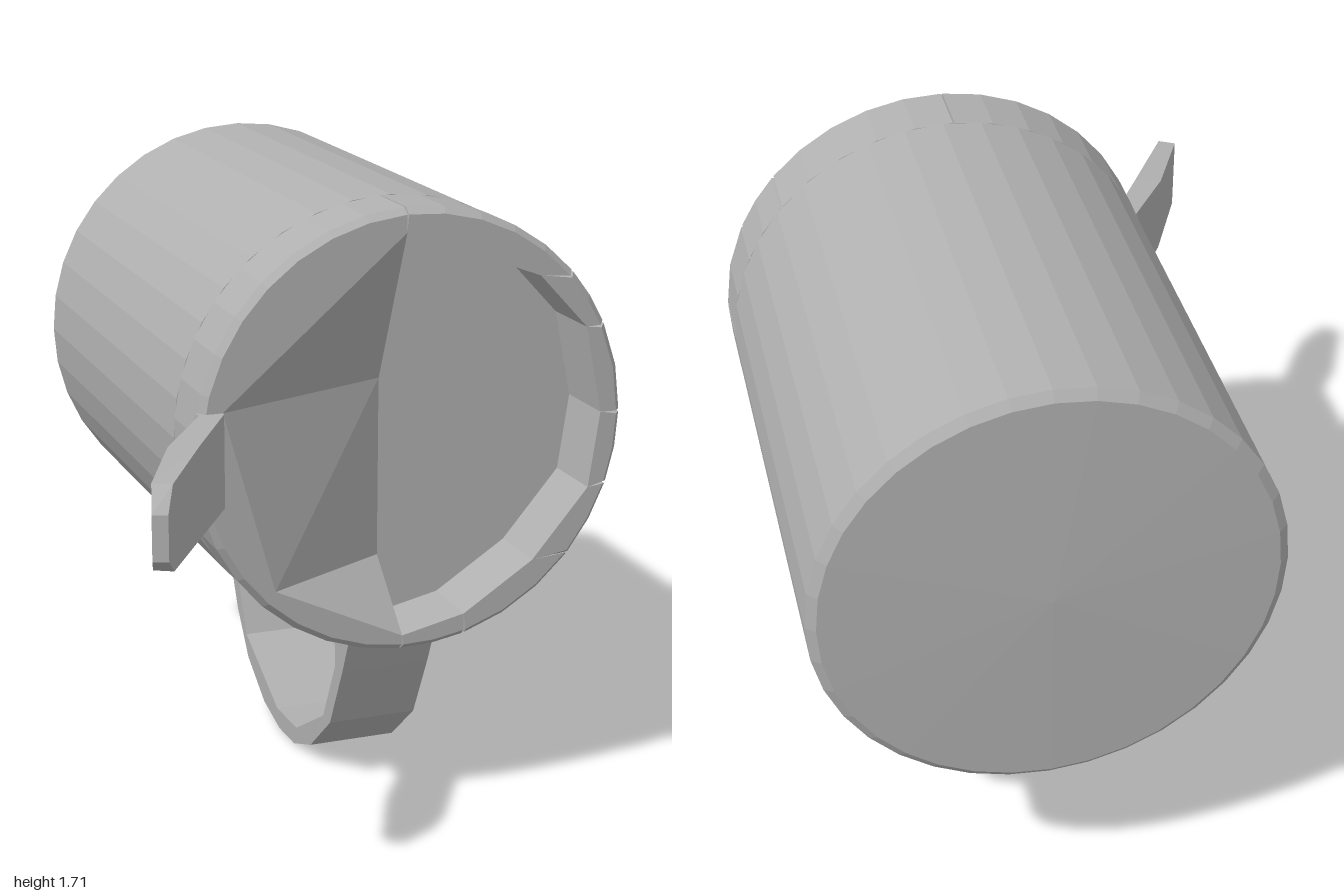
import * as THREE from 'three';

const grey = new THREE.MeshStandardMaterial({ color: 0xb0b0b0, flatShading: true });
grey.name = 'grey';

const CX = 0.13, CY = 1.11, R = 0.604;   // cup axis and radius
const FLOOR = 0.3, RIM = 0.49;           // inner floor and rim depth
const V = (x, y) => new THREE.Vector2(x, y);

function add(group, name, geometry) {
  const mesh = new THREE.Mesh(geometry, grey);
  mesh.name = name;
  group.add(mesh);
  return mesh;
}

// Points along the outer circle between two angles in degrees
function arc(from, to) {
  const n = Math.max(1, Math.round(Math.abs(to - from) / 10));
  return Array.from({ length: n + 1 }, (_, i) => {
    const a = THREE.MathUtils.degToRad(from + (to - from) * i / n);
    return V(CX + R * Math.cos(a), CY + R * Math.sin(a));
  });
}

// Piece of rim wall from the floor to the lip, with a chamfered outer edge
function rimPiece(points) {
  const g = new THREE.ExtrudeGeometry(new THREE.Shape(points),
    { depth: RIM - FLOOR, steps: 2, bevelEnabled: false });
  g.translate(0, 0, FLOOR);
  const p = g.attributes.position;
  for (let i = 0; i < p.count; i++) {
    const x = p.getX(i) - CX, y = p.getY(i) - CY, z = p.getZ(i);
    if (z > RIM - 0.001) {
      const k = Math.hypot(x, y) > R - 0.01 ? 0.972 : 1;
      p.setXY(i, CX + x * k, CY + y * k);
    } else if (z > FLOOR + 0.001) p.setZ(i, RIM - 0.02);
  }
  g.computeVertexNormals();
  return g;
}

function triangles(list) {
  const g = new THREE.BufferGeometry();
  g.setAttribute('position', new THREE.Float32BufferAttribute(list.flat(2), 3));
  g.computeVertexNormals();
  return g;
}

export function createModel() {
  const model = new THREE.Group();
  model.name = 'mug';

  // Solid body, lying along z with a slightly bevelled base
  const profile = [V(0, -1), V(R - 0.025, -0.985), V(R, -0.965), V(R, FLOOR), V(0, FLOOR)];
  const body = new THREE.LatheGeometry(profile, 36);
  body.rotateX(Math.PI / 2);
  body.translate(CX, CY, 0);
  add(model, 'body', body);

  // Thin wall segments round one half of the mouth, parted by fine slits
  const angles = [93, 41.6, 25, 0.5, -19, -40, -75, -93];
  const inner = [[0.1, 1.65], [0.48, 1.51], [0.62, 1.36], [0.67, 1.12],
    [0.64, 0.91], [0.48, 0.72], [0.28, 0.59], [0.1, 0.55]].map(([x, y]) => V(x, y));
  for (let i = 0; i < angles.length - 1; i++) {
    const gap = 0.4;
    add(model, 'rimSegment', rimPiece([
      inner[i], inner[i + 1], ...arc(angles[i + 1] + gap, angles[i] - gap)]));
  }

  // Thick rim on the other half
  const A = [0.1, 1.65, RIM], B = [-0.4, 1.22, RIM], D = [-0.26, 0.72, RIM], E = [0.1, 0.55, RIM];
  const corners = [E, D, B, A].map(([x, y]) => V(x, y));
  add(model, 'thickRim', rimPiece([...arc(93, 267), ...corners]));

  // Sloping facets from the thick rim down to the floor
  const C = [0.1, 1.22, FLOOR + 0.002], F = [0.1, 0.72, FLOOR + 0.002];
  const A0 = [0.1, 1.65, FLOOR], E0 = [0.1, 0.55, FLOOR];
  add(model, 'innerSlopes', triangles([
    [A, B, C], [B, D, C], [D, F, C], [D, E, F], [A, C, A0], [E, E0, F]]));

  // Flat bar reaching out from the rim: outer x/z, inner x/z, low y, high y
  const stations = [
    [-0.47, 0.47, -0.4, 0.47, 0.97, 1.22],
    [-0.463, 0.49, -0.4, 0.5, 0.97, 1.22],
    [-0.61, 0.7, -0.535, 0.72, 0.975, 1.212],
    [-0.72, 0.93, -0.675, 0.955, 0.985, 1.2],
    [-0.737, 0.985, -0.7, 0.998, 1.025, 1.14]];
  const rings = stations.map(([ox, oz, ix, iz, lo, hi]) =>
    [[ox, lo, oz], [ix, lo, iz], [ix, hi, iz], [ox, hi, oz]]);
  const faces = [];
  const quad = (a, b, c, d) => faces.push([a, b, c], [a, c, d]);
  for (let s = 0; s < rings.length - 1; s++) {
    for (let k = 0; k < 4; k++) {
      const n = (k + 1) % 4;
      quad(rings[s][k], rings[s][n], rings[s + 1][n], rings[s + 1][k]);
    }
  }
  quad(...rings[rings.length - 1]);
  quad(...[...rings[0]].reverse());
  add(model, 'bar', triangles(faces));

  // Looped handle below, drawn as z/y outline and extruded across x
  const outside = [[0.34, 0.53], [0.34, 0.49], [0.295, 0.39], [0.2, 0.2], [0.04, 0.065],
    [-0.1, 0.012], [-0.23, 0.008], [-0.37, 0.04], [-0.52, 0.13], [-0.62, 0.26],
    [-0.69, 0.4], [-0.74, 0.49], [-0.74, 0.53]];
  const inside = [[-0.63, 0.53], [-0.65, 0.42], [-0.62, 0.38], [-0.535, 0.2], [-0.25, 0.065],
    [-0.08, 0.07], [0.145, 0.2], [0.24, 0.39], [0.23, 0.53]];
  const handle = new THREE.ExtrudeGeometry(
    new THREE.Shape([...outside, ...inside].map(([z, y]) => V(-z, y))),
    { depth: 0.255, bevelEnabled: false });
  handle.rotateY(Math.PI / 2);
  handle.translate(0.003, -0.008, 0);
  add(model, 'handle', handle);

  return model;
}
